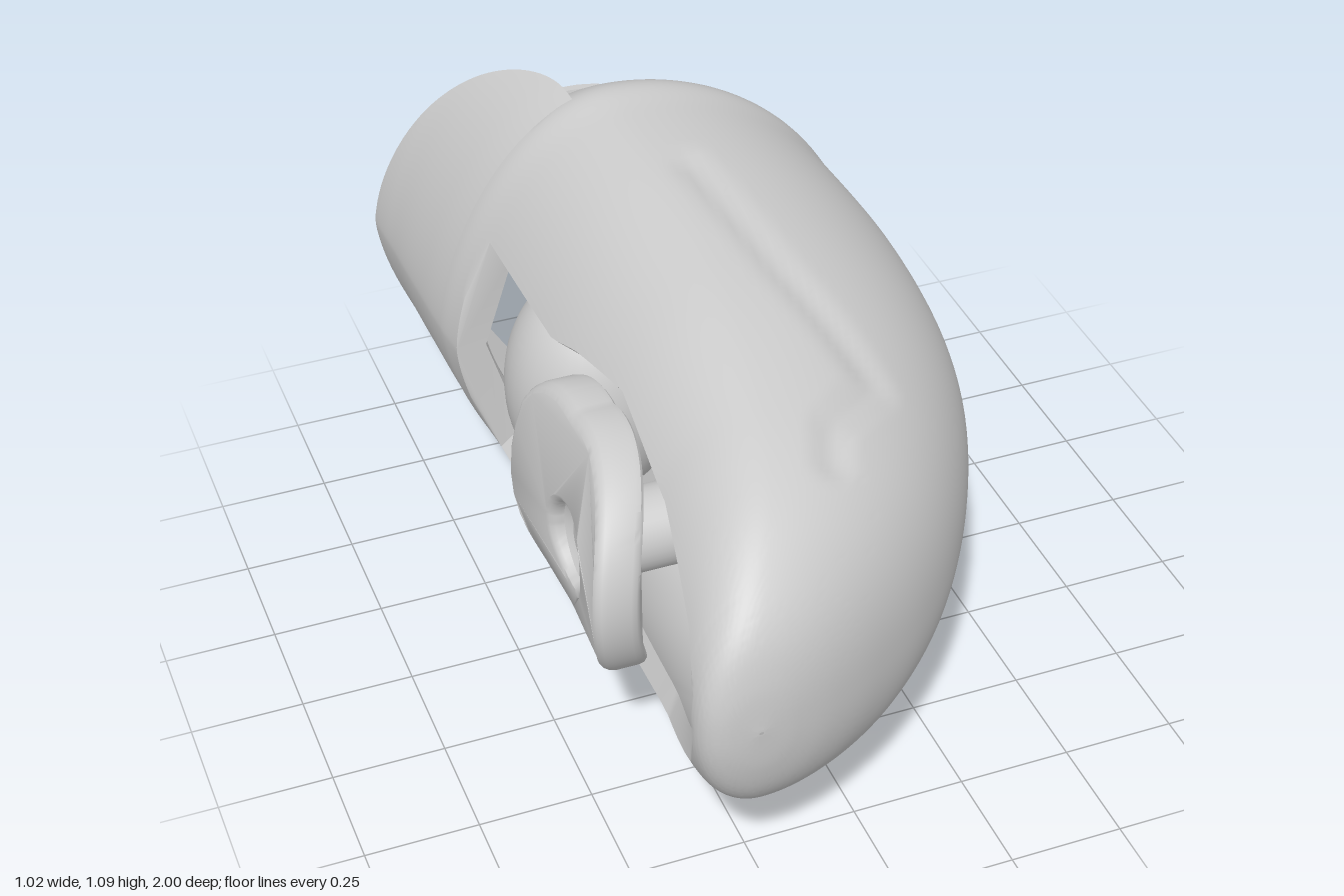
import * as THREE from 'three';
import { toCreasedNormals } from 'three/addons/utils/BufferGeometryUtils.js';

const MID = 0.545; // height of the horizontal symmetry plane
const { clamp, lerp } = THREE.MathUtils;
const grey = new THREE.MeshStandardMaterial({ color: 0xcccccc, side: THREE.DoubleSide });

function add(parent, name, geometry, x = 0, y = 0, z = 0) {
  const mesh = new THREE.Mesh(geometry, grey);
  mesh.name = name;
  mesh.position.set(x, y, z);
  parent.add(mesh);
  return mesh;
}

// Smooth interpolation through rows of section values
function sampleRows(rows, steps) {
  const out = [];
  for (let i = 0; i < rows.length - 1; i++) {
    const p = [rows[Math.max(i - 1, 0)], rows[i], rows[i + 1], rows[Math.min(i + 2, rows.length - 1)]];
    for (let s = 0; s < steps; s++) {
      const t = s / steps;
      out.push(p[1].map((b, c) => {
        const a = p[0][c], d = p[2][c], e = p[3][c];
        return b + 0.5 * t * (d - a + t * (2 * a - 5 * b + 4 * d - e + t * (3 * (b - d) + e - a)));
      }));
    }
  }
  out.push(rows[rows.length - 1]);
  return out;
}

// Outline point: rounded on +x, more pointed on -x, blunter towards the nose
function outline([z, R, L, a, H], t) {
  const c = Math.cos(t), s = Math.sin(t);
  const power = c < 0 ? lerp(1.3, 0.9, clamp((z - 0.55) / 0.4, 0, 1)) : lerp(1, 0.88, clamp((z - 0.2) / 0.7, 0, 1));
  return [a + c * (c < 0 ? a - L : R - a), MID + H * Math.sign(s) * Math.pow(Math.abs(s), power)];
}

// Jagged dent across the upper surface, as x,z points
const crack = [[-0.01, -0.18], [0.04, 0.2], [0.12, 0.52], [-0.02, 0.62], [-0.05, 0.7]];
function dent(x, z) {
  let d = 1;
  for (let i = 0; i < crack.length - 1; i++) {
    const [ax, az] = crack[i], bx = crack[i + 1][0] - ax, bz = crack[i + 1][1] - az;
    const t = clamp(((x - ax) * bx + (z - az) * bz) / (bx * bx + bz * bz), 0, 1);
    d = Math.min(d, Math.hypot(x - ax - bx * t, z - az - bz * t));
  }
  return 0.014 * Math.max(0, 1 - d / 0.05);
}

// Thick-walled loft along z: outer arc one way, inner arc back, trimmed to an angle limit
function loftWall(stations, centre, span, limit, n) {
  const pos = [], index = [], m = 2 * (n + 1);
  for (const st of stations) {
    const [z, , , a, , k] = st, w = limit(st);
    const zi = z > 0.5 ? z - 0.14 * (z - 0.5) : z;
    for (let j = 0; j < m; j++) {
      const inner = j > n;
      const t = span * (2 * (inner ? m - 1 - j : j) / n - 1);
      const [x, y] = outline(st, centre + clamp(t, -w, w));
      if (inner) pos.push(a + (x - a) * k, MID + (y - MID) * k, zi);
      else pos.push(x, y > 0.7 ? y - dent(x, z) : y, z);
    }
  }
  for (let i = 0; i < stations.length - 1; i++) {
    for (let j = 0; j < m; j++) {
      const a = i * m + j, b = i * m + (j + 1) % m;
      index.push(a, b, b + m, a, b + m, a + m);
    }
  }
  const g = new THREE.BufferGeometry();
  g.setAttribute('position', new THREE.Float32BufferAttribute(pos, 3));
  g.setIndex(index);
  return toCreasedNormals(g, 0.6);
}

function lookup(table, v) {
  let i = 0;
  while (i < table.length - 2 && v > table[i + 1][0]) i++;
  const [a, p] = table[i], [b, q] = table[i + 1];
  return lerp(p, q, clamp((v - a) / (b - a), 0, 1));
}

export function createModel() {
  const group = new THREE.Group();

  // Main cowling: z, right edge, left edge, crest x, half height, inner scale
  const body = [
    [-0.63, 0.36, -0.49, -0.07, 0.475, 0.999],
    [-0.62, 0.38, -0.49, -0.07, 0.49, 0.74],
    [-0.52, 0.48, -0.495, -0.07, 0.543, 0.77],
    [-0.4, 0.495, -0.485, -0.07, 0.54, 0.84],
    [-0.15, 0.51, -0.48, -0.07, 0.53, 0.87],
    [0.1, 0.49, -0.48, -0.075, 0.51, 0.87],
    [0.3, 0.44, -0.47, -0.1, 0.485, 0.87],
    [0.5, 0.35, -0.46, -0.13, 0.445, 0.87],
    [0.67, 0.24, -0.45, -0.17, 0.4, 0.86],
    [0.8, 0.115, -0.44, -0.22, 0.345, 0.85],
    [0.9, -0.025, -0.435, -0.27, 0.27, 0.83],
    [0.96, -0.14, -0.425, -0.3, 0.195, 0.8],
    [0.99, -0.235, -0.39, -0.31, 0.105, 0.77],
    [1, -0.31, -0.32, -0.315, 0.003, 0.7],
  ];
  // Side window: the wall stops where it reaches this x
  const windowX = [[-0.4, -0.4], [0, -0.39], [0.1, -0.37], [0.3, -0.34], [0.6, -0.36], [0.85, -0.405], [0.93, -0.43]];
  add(group, 'cowling', loftWall(sampleRows(body, 9), 0, Math.PI, ([z, , L, a]) => {
    if (z < -0.525) return Math.PI - 1.3;
    if (z < -0.4 || z > 0.93) return Math.PI;
    return Math.PI - Math.acos(Math.min(1, (a - lookup(windowX, z)) / (a - L)));
  }, 160));

  // Rear flap: the -x wall continued backwards to a rounded tongue
  const flap = [
    [-1, 0.5, -0.51, -0.07, 0.53, 0.995],
    [-0.98, 0.5, -0.51, -0.07, 0.53, 0.95],
    [-0.93, 0.5, -0.508, -0.07, 0.53, 0.92],
    [-0.87, 0.5, -0.505, -0.07, 0.53, 0.9],
    [-0.78, 0.5, -0.503, -0.07, 0.533, 0.87],
    [-0.68, 0.5, -0.5, -0.07, 0.538, 0.83],
    [-0.6, 0.5, -0.498, -0.07, 0.541, 0.8],
    [-0.51, 0.5, -0.494, -0.07, 0.542, 0.77],
  ];
  add(group, 'rearFlap', loftWall(sampleRows(flap, 6), Math.PI, 1.36, ([z]) => {
    const u = clamp((z + 1) / 0.45, 0.002, 1);
    return 1.36 * Math.sqrt(1 - (1 - u) ** 2);
  }, 80));

  // Bulkhead closing the rear cavity
  const bulkhead = new THREE.CylinderGeometry(1, 1, 0.04, 64);
  bulkhead.rotateX(Math.PI / 2);
  bulkhead.scale(0.39, 0.45, 1);
  add(group, 'bulkhead', bulkhead, 0, MID, -0.27);

  // Two hinge lugs, each with a funnel-shaped socket and a flaring arm
  const armShape = new THREE.Shape([[-0.14, -0.13], [0.14, -0.13], [0.26, -0.4], [-0.26, -0.4]]
    .map(([x, y]) => new THREE.Vector2(x, y)));
  for (const [name, y, h] of [['upperLug', 0.715, 0.2], ['lowerLug', 0.2, 0.19]]) {
    const lug = new THREE.Group();
    lug.name = name;
    lug.position.set(-0.07, y, -0.66);
    const profile = [[0.065, 0], [0.175, 0], [0.18, 0.01], [0.18, h - 0.01], [0.175, h], [0.155, h],
      [0.13, 0.1], [0.065, 0.06], [0.065, 0]].map(([r, v]) => new THREE.Vector2(r, v));
    add(lug, 'socket', toCreasedNormals(new THREE.LatheGeometry(profile, 48), 0.6));
    const arm = new THREE.ExtrudeGeometry(armShape, { depth: 0.17, bevelEnabled: false });
    arm.rotateX(-Math.PI / 2);
    // The shape's -y becomes +z, so the arm runs into the cavity
    add(lug, 'arm', arm);
    group.add(lug);
  }

  // Rounded core behind the window
  const core = new THREE.SphereGeometry(0.2, 40, 28);
  core.scale(1, 1.4, 1);
  add(group, 'core', core, -0.235, MID, -0.2);

  // Side plate: rounded at the front, straight at the rear, dished centre
  const plate = new THREE.Group();
  plate.name = 'sidePlate';
  plate.position.set(-0.4, MID, 0.33);
  const shape = new THREE.Shape();
  shape.moveTo(-0.28, -0.17);
  shape.quadraticCurveTo(-0.25, -0.26, -0.1, -0.255);
  shape.absellipse(-0.02, 0, 0.27, 0.262, -1.8, 1.8, false);
  shape.quadraticCurveTo(-0.25, 0.26, -0.28, 0.17);
  for (let v = 0.12; v > -0.15; v -= 0.06) shape.lineTo(-0.28, v);
  shape.closePath();
  const hole = new THREE.Path();
  hole.absarc(0, 0, 0.11, 0, Math.PI * 2, true);
  shape.holes.push(hole);
  const slab = new THREE.ExtrudeGeometry(shape, {
    depth: 0.05, bevelThickness: 0.025, bevelSize: 0.02, bevelSegments: 3, curveSegments: 32,
  });
  slab.rotateY(-Math.PI / 2);
  // Wrap the slab around the body's curve and sink its middle
  const p = slab.attributes.position;
  for (let i = 0; i < p.count; i++) {
    const y = p.getY(i), q = Math.min(1, Math.hypot(y, p.getZ(i)) / 0.2);
    p.setX(i, p.getX(i) + 1.1 * y * y + 0.03 * (1 - q * q) - 0.035);
  }
  add(plate, 'slab', toCreasedNormals(slab, 0.6));
  const dish = new THREE.LatheGeometry([[0, 0.025], [0.022, 0.025], [0.022, 0.05], [0.045, 0.05], [0.05, 0.03],
    [0.07, 0.035], [0.112, 0.075]].map(([r, y]) => new THREE.Vector2(r, y)), 40);
  dish.rotateZ(Math.PI / 2);
  add(plate, 'dish', toCreasedNormals(dish, 0.6));
  const axle = new THREE.CylinderGeometry(0.09, 0.09, 0.6, 32);
  axle.rotateZ(Math.PI / 2);
  add(plate, 'axle', axle, 0.29);
  group.add(plate);

  return group;
}
